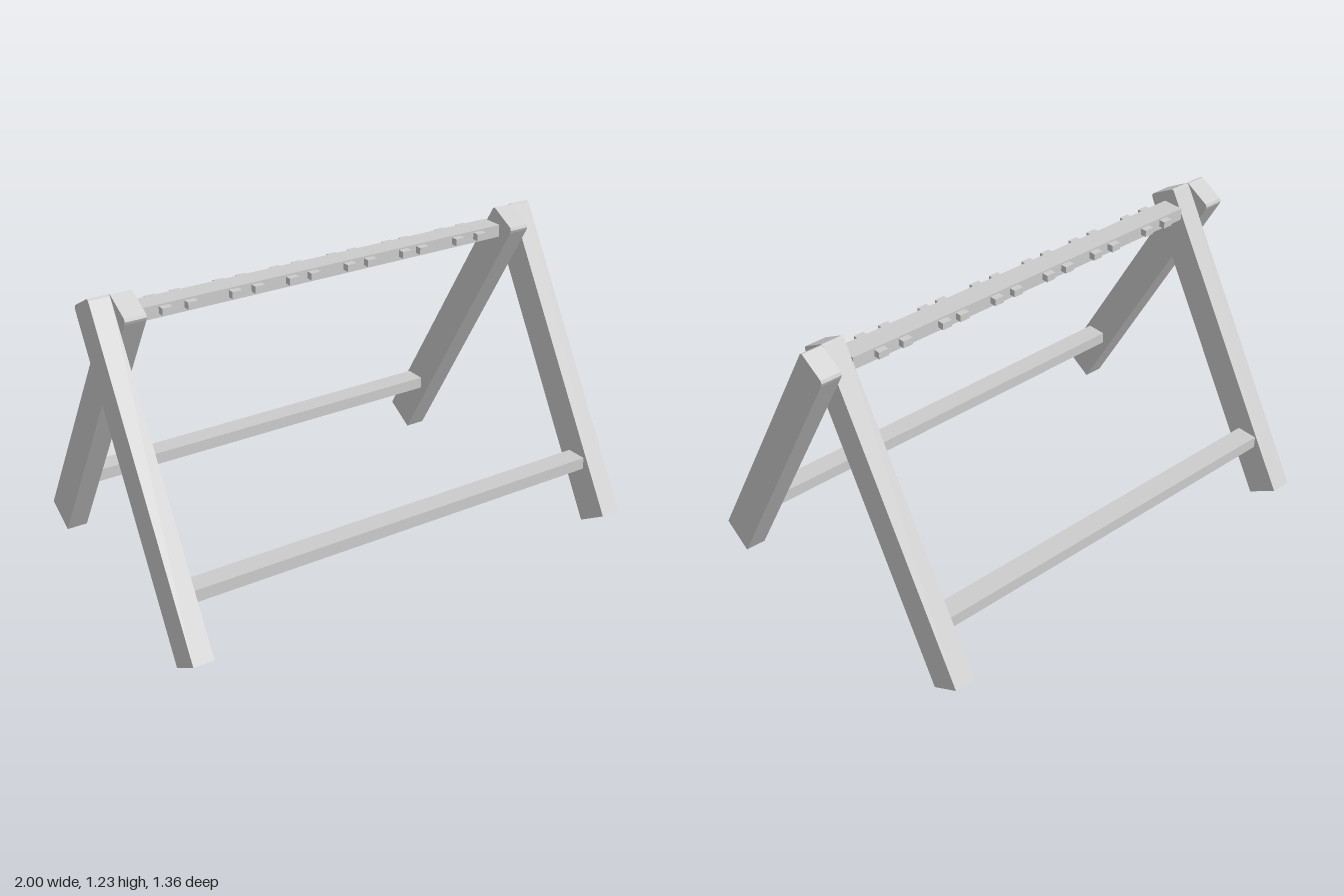
import * as THREE from 'three';

export function createModel() {
  const model = new THREE.Group();
  model.name = 'aFrameRack';
  const grey = new THREE.MeshStandardMaterial({ color: 0xcccccc });
  grey.name = 'plain grey';

  const add = (name, geometry, x, y, z) => {
    const mesh = new THREE.Mesh(geometry, grey);
    mesh.name = name;
    mesh.position.set(x, y, z);
    model.add(mesh);
  };
  const box = (name, w, h, d, x, y, z) => add(name, new THREE.BoxGeometry(w, h, d), x, y, z);

  // Leaning leg, outlined in (z, y) and extruded along x; lean -1 mirrors it to the back
  const leg = (name, lean, x0, x1) => {
    const outline = [
      [0.555, 0], [0.68, 0.075], [0.008, 1.225], [-0.003, 1.23], [-0.106, 1.172], [-0.111, 1.16], [-0.106, 1.148],
    ];
    const shape = new THREE.Shape(outline.map(([z, y]) => new THREE.Vector2(-z * lean, y)));
    const geometry = new THREE.ExtrudeGeometry(shape, { depth: x1 - x0, bevelEnabled: false });
    geometry.rotateY(Math.PI / 2);
    add(name, geometry, x0, 0, 0);
  };

  // Front legs sit outside, back legs cross them on the inside
  leg('frontLegLeft', 1, 0.915, 1);
  leg('frontLegRight', 1, -1, -0.915);
  leg('backLegLeft', -1, 0.826, 0.913);
  leg('backLegRight', -1, -0.913, -0.826);

  // Lower stretchers and top bar
  box('frontStretcher', 1.83, 0.05, 0.087, 0, 0.26, 0.497);
  box('backStretcher', 1.654, 0.05, 0.09, 0, 0.26, -0.505);
  box('topBar', 1.654, 0.051, 0.092, 0, 1.14, -0.009);

  // Pairs of pegs on both faces of the top bar
  const pegs = [-0.72, -0.615, -0.43, -0.332, -0.182, -0.085, 0.08, 0.175, 0.342, 0.425, 0.605, 0.713];
  for (const x of pegs) {
    box('frontPeg', 0.042, 0.028, 0.03, x, 1.144, 0.05);
    box('backPeg', 0.042, 0.028, 0.03, x, 1.144, -0.067);
  }
  return model;
}
